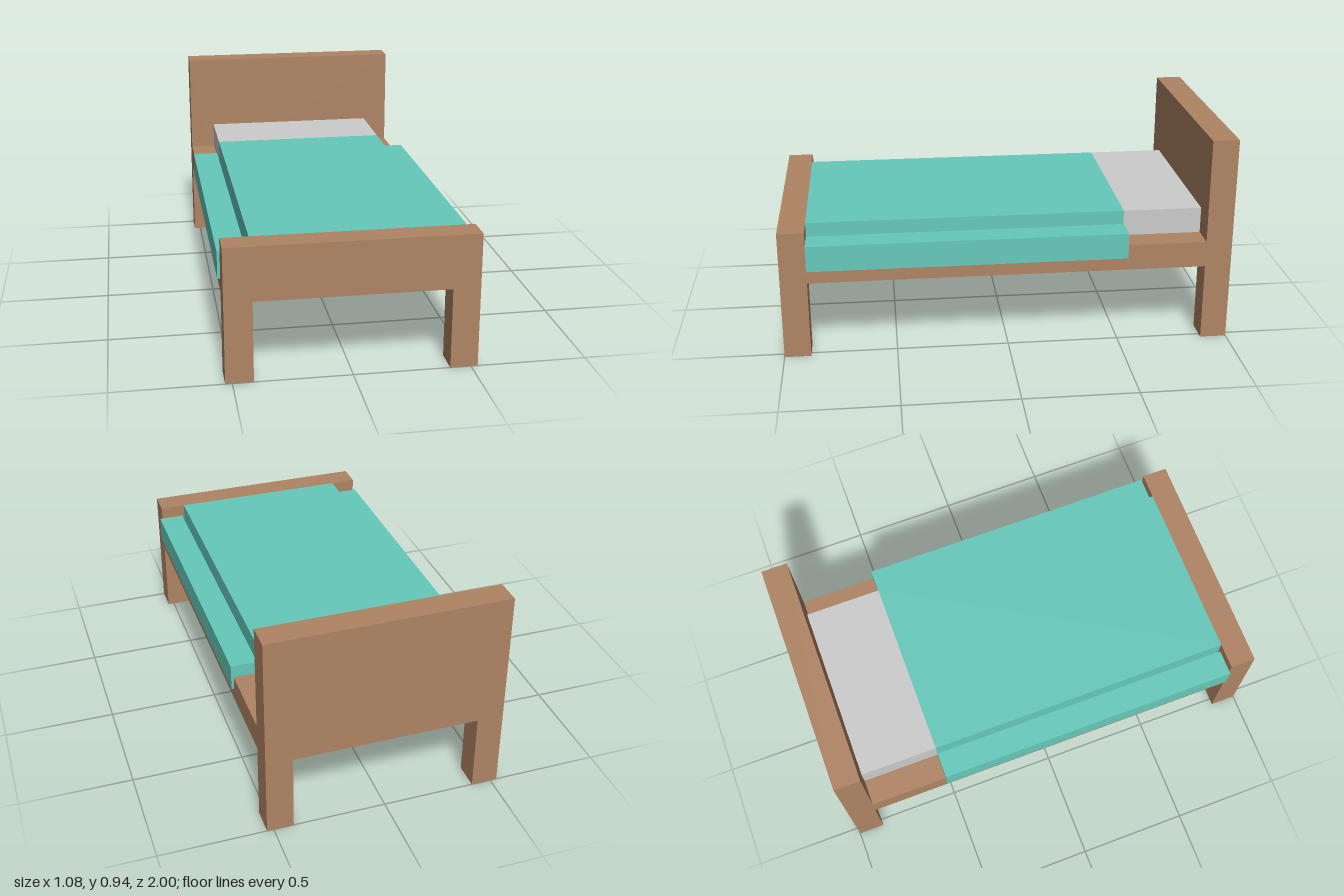
import * as THREE from 'three';

const U = 2 / 17; // timber thickness, the module of the whole bed
const HALF_W = 4.5 * U, LEG_H = 3 * U, RAIL_TOP = 4 * U, BED_TOP = 5 * U;
const END_Z = 7.5 * U; // inner faces of the end boards
const FOLD_Z = -4.5 * U; // upper edge of the blanket

const wood = new THREE.MeshStandardMaterial({ color: 0xaf8464 });
const cloth = new THREE.MeshStandardMaterial({ color: 0x65c9bb });
const linen = new THREE.MeshStandardMaterial({ color: 0xcccccc });

// Box given by its minimum and maximum corners
function box(name, material, [x0, y0, z0], [x1, y1, z1]) {
  const mesh = new THREE.Mesh(new THREE.BoxGeometry(x1 - x0, y1 - y0, z1 - z0), material);
  mesh.position.set((x0 + x1) / 2, (y0 + y1) / 2, (z0 + z1) / 2);
  mesh.name = name;
  return mesh;
}

// End board with its two legs cut from one slab
function endBoard(name, height, z) {
  const inner = HALF_W - U;
  const shape = new THREE.Shape([
    [-HALF_W, 0], [-inner, 0], [-inner, LEG_H], [inner, LEG_H],
    [inner, 0], [HALF_W, 0], [HALF_W, height], [-HALF_W, height],
  ].map(([x, y]) => new THREE.Vector2(x, y)));
  const mesh = new THREE.Mesh(new THREE.ExtrudeGeometry(shape, { depth: U, bevelEnabled: false }), wood);
  mesh.position.z = z;
  mesh.name = name;
  return mesh;
}

export function createModel() {
  const bed = new THREE.Group();
  bed.name = 'bed';
  const inner = HALF_W - U;

  // Frame ends
  bed.add(endBoard('headboard', 8 * U, -END_Z - U));
  bed.add(endBoard('footboard', BED_TOP, END_Z));

  // Mattress, with its bare head end and the blanket over the rest
  bed.add(box('mattressBase', linen, [-inner, LEG_H, -END_Z], [inner, RAIL_TOP, END_Z]));
  bed.add(box('mattressHead', linen, [-inner, RAIL_TOP, -END_Z], [inner, BED_TOP, FOLD_Z]));
  bed.add(box('blanket', cloth, [-inner, RAIL_TOP, FOLD_Z], [inner, BED_TOP, END_Z]));

  // Side rails and the blanket sides hanging over them
  for (const [side, s] of [['left', 1], ['right', -1]]) {
    const rail = box(side + 'Rail', wood, [inner, LEG_H, -END_Z], [HALF_W, RAIL_TOP, END_Z]);
    const flap = box(side + 'BlanketSide', cloth,
      [inner + 0.1 * U, 3.5 * U, FOLD_Z], [HALF_W + 0.1 * U, 4.5 * U, END_Z]);
    for (const part of [rail, flap]) {
      part.position.x *= s;
      bed.add(part);
    }
  }
  return bed;
}
